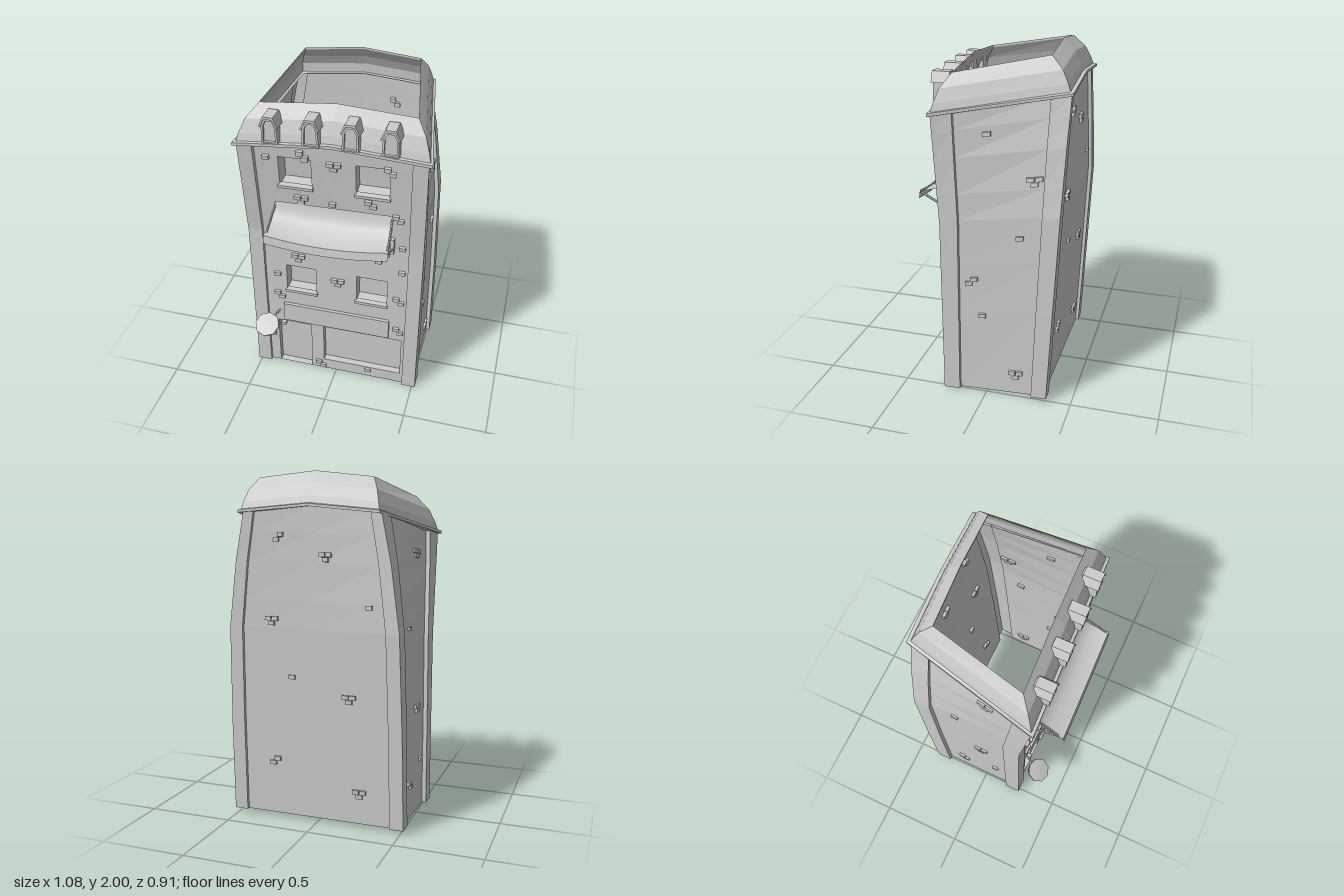
import * as THREE from 'three';

const solid = new THREE.MeshStandardMaterial({ color: 0xcccccc, flatShading: true });
const shell = new THREE.MeshStandardMaterial({ color: 0xcccccc, flatShading: true, side: THREE.DoubleSide });
const smooth = new THREE.MeshStandardMaterial({ color: 0xcccccc, side: THREE.DoubleSide });

// Piecewise linear curve through [y, value] points
function curve(points, y) {
  for (let i = 1; i < points.length; i++) {
    const [a, va] = points[i - 1], [b, vb] = points[i];
    if (y <= b || i === points.length - 1) return va + (vb - va) * Math.min(1, Math.max(0, (y - a) / (b - a)));
  }
}
const FRONT_Z = [[0, 0.255], [1.05, 0.255], [1.68, 0.31]];
const BACK_Z = [[0, -0.36], [1.05, -0.415], [1.66, -0.42]];
const BACK_SCALE = [[0, 1], [0.5, 0.99], [1.05, 0.96], [1.4, 0.86], [1.66, 0.75]];

// Bends a straight block into the crooked house
function warp(x, y, z) {
  const b = (0.255 - z) / 0.615, f = curve(FRONT_Z, y);
  const t = Math.max(0, (y - 1.05) / 0.6);
  const lift = Math.max(0, (y - 1.58) / 0.08) * 0.04 * (1 - Math.abs(x) / 0.54);
  return [
    x * (1 - b * (1 - curve(BACK_SCALE, y))),
    y + b * (0.025 + 0.06 * y) + lift,
    f + (curve(BACK_Z, y) - f) * b - 0.037 * x * t,
  ];
}
function warpGeometry(geo) {
  const p = geo.attributes.position;
  for (let i = 0; i < p.count; i++) p.setXYZ(i, ...warp(p.getX(i), p.getY(i), p.getZ(i)));
  geo.computeVertexNormals();
  return geo;
}

// Surface through rows of points
function loft(rows, closed = false) {
  const n = rows[0].length, index = [];
  for (let r = 0; r < rows.length - 1; r++) {
    for (let i = 0; i < (closed ? n : n - 1); i++) {
      const a = r * n + i, b = r * n + (i + 1) % n;
      index.push(a, b, b + n, a, b + n, a + n);
    }
  }
  const geo = new THREE.BufferGeometry();
  geo.setAttribute('position', new THREE.Float32BufferAttribute(rows.flat(2), 3));
  geo.setIndex(index);
  geo.computeVertexNormals();
  return geo;
}

export function createModel() {
  const house = new THREE.Group();
  const add = (name, geo, mat = solid, parent = house) => {
    const mesh = new THREE.Mesh(geo, mat);
    mesh.name = name;
    parent.add(mesh);
    return mesh;
  };
  const group = (name) => {
    const g = new THREE.Group();
    g.name = name;
    house.add(g);
    return g;
  };
  const box = (w, h, d, x, y, z) => new THREE.BoxGeometry(w, h, d).translate(x, y, z);
  const rod = (name, a, b, r, parent) => {
    const path = new THREE.LineCurve3(new THREE.Vector3(...a), new THREE.Vector3(...b));
    add(name, new THREE.TubeGeometry(path, 1, r, 6), shell, parent);
  };

  // Side and back walls with the four raised corner pillars
  const levels = [0, 0.5, 0.8, 1.05, 1.2, 1.4, 1.55, 1.66];
  const half = [[0.435, 0.235], [0.435, 0.255], [0.52, 0.255], [0.52, 0.16], [0.495, 0.16],
    [0.495, -0.27], [0.52, -0.27], [0.52, -0.36], [0.44, -0.36], [0.44, -0.34], [0, -0.34]];
  const plan = [...half, ...half.slice(0, -1).reverse().map(([x, z]) => [-x, z])];
  add('wallsAndPillars', loft(levels.map((y) => plan.map(([x, z]) => warp(x, y, z)))), shell);

  // Front wall: a grid of cells with recessed openings [x0, x1, y0, y1, depth]
  const openings = [[-0.375, -0.16, 0, 0.35, 0.04], [-0.08, 0.415, 0.075, 0.355, 0.04]];
  for (const [y0, y1] of [[0.615, 0.8], [1.0, 1.19], [1.39, 1.58]]) {
    openings.push([-0.305, -0.12, y0, y1, 0.075], [0.13, 0.315, y0, y1, 0.075]);
  }
  const sorted = (list) => [...new Set(list)].sort((a, b) => a - b);
  const xs = sorted([-0.435, 0, 0.435, ...openings.flatMap((o) => [o[0], o[1]])]);
  const ys = sorted([...levels, ...openings.flatMap((o) => [o[2], o[3]])]);
  const wallZ = 0.235, pos = [];
  const quad = (a, b, c, d) => [a, b, c, a, c, d].forEach((p) => pos.push(...warp(...p)));
  for (let i = 0; i < xs.length - 1; i++) {
    for (let j = 0; j < ys.length - 1; j++) {
      const [x0, x1, y0, y1] = [xs[i], xs[i + 1], ys[j], ys[j + 1]];
      const o = openings.find((q) => x0 >= q[0] && x1 <= q[1] && y0 >= q[2] && y1 <= q[3]);
      const z = wallZ - (o ? o[4] : 0);
      quad([x0, y0, z], [x1, y0, z], [x1, y1, z], [x0, y1, z]);
    }
  }
  for (const [x0, x1, y0, y1, d] of openings) {
    const c = [[x0, y0], [x1, y0], [x1, y1], [x0, y1]];
    c.forEach((p, i) => {
      const q = c[(i + 1) % 4];
      quad([...p, wallZ], [...q, wallZ], [...q, wallZ - d], [...p, wallZ - d]);
    });
  }
  const frontGeo = new THREE.BufferGeometry();
  frontGeo.setAttribute('position', new THREE.Float32BufferAttribute(pos, 3));
  frontGeo.computeVertexNormals();
  add('frontWall', frontGeo, shell);

  // Window sills and shop sign board
  const sills = group('windowSills');
  for (const [x0, x1, y0] of openings.slice(2)) {
    add('sill', warpGeometry(box(x1 - x0 + 0.015, 0.018, 0.03, (x0 + x1) / 2, y0, wallZ)), solid, sills);
  }
  add('signBoard', warpGeometry(box(0.665, 0.13, 0.03, 0.003, 0.44, wallZ + 0.002)));

  // Protruding bricks: [along, y, count]
  const bricks = group('bricks');
  const layBricks = (list, toBox) => list.forEach(([a, y, n]) => {
    const spots = [[[0, 0]], [[-0.012, 0.012], [0.016, -0.013]], [[-0.021, 0.012], [0.021, 0.012], [0, -0.013]]][n - 1];
    for (const [da, dy] of spots) add('brick', warpGeometry(toBox(a + da, y + dy)), solid, bricks);
  });
  layBricks([[-0.37, 1.575, 1], [-0.165, 1.6, 2], [0.315, 1.57, 2], [0.01, 1.56, 3], [-0.185, 1.31, 3],
    [0.21, 1.34, 2], [0.365, 1.265, 2], [-0.005, 1.305, 1], [0.395, 1.06, 1], [-0.36, 1.09, 2], [-0.01, 1.045, 3],
    [0.26, 0.945, 1], [0.4, 0.885, 1], [-0.225, 0.875, 3], [0.015, 0.735, 3], [-0.36, 0.73, 1], [0.385, 0.67, 2],
    [-0.355, 0.57, 2], [0.39, 0.435, 2], [-0.415, 0.235, 1], [0.21, 0.06, 1], [-0.1, 0.04, 2]],
  (a, y) => box(0.038, 0.023, 0.03, a, y, wallZ));
  layBricks([[0.01, 1.51, 1], [-0.22, 1.24, 3], [-0.16, 0.94, 1], [0.09, 0.69, 2], [0.03, 0.48, 1], [-0.17, 0.12, 3]],
    (a, y) => box(0.03, 0.023, 0.038, 0.495, y, a));
  layBricks([[0.02, 1.5, 3], [-0.13, 1.08, 1], [0, 0.62, 3], [0.08, 0.3, 1], [-0.15, 0.2, 2]],
    (a, y) => box(0.03, 0.023, 0.038, -0.495, y, a));
  layBricks([[0.24, 1.53, 2], [-0.09, 1.43, 3], [0.26, 1.09, 3], [-0.35, 1.18, 1], [0.135, 0.79, 1],
    [-0.21, 0.69, 3], [0.25, 0.31, 2], [-0.26, 0.17, 3]],
  (a, y) => box(0.038, 0.023, 0.03, a, y, -0.34));

  // Open mansard roof: profile swept between the eave ring and the top ring
  const eave = [[-0.54, 1.645, 0.34], [0, 1.69, 0.32], [0.54, 1.645, 0.3],
    [0.417, 1.775, -0.452], [0.01, 1.81, -0.44], [-0.39, 1.775, -0.426]];
  const top = [[-0.41, 1.865, 0.226], [0.01, 1.9, 0.208], [0.436, 1.865, 0.19],
    [0.345, 1.965, -0.32], [0.015, 2, -0.308], [-0.315, 1.965, -0.295]];
  const profile = [[0.5, 0], [0, 0], [0, 0.08], [0.15, 0.1], [0.25, 0.3], [0.5, 0.65], [1, 1],
    [1, 0.94], [0.6, 0.6], [0.38, 0.3], [0.36, 0.02]];
  add('roof', loft(profile.map(([h, v]) => eave.map((e, i) => e.map((c, k) => c + (top[i][k] - c) * (k === 1 ? v : h)))), true), shell);

  // Dormers: framed body with a recessed pane under a blunt cap
  const outline = (pts) => new THREE.Shape(pts.map((p) => new THREE.Vector2(...p)));
  const arch = (w, h) => [[-w, 0], [w, 0], [w * 0.88, h * 0.76], [w * 0.5, h], [-w * 0.5, h], [-w * 0.88, h * 0.76]];
  for (const x of [-0.32, -0.1, 0.113, 0.322]) {
    const dormer = group('dormer');
    const frame = outline(arch(0.046, 0.145));
    frame.holes.push(new THREE.Path(arch(0.034, 0.122).map(([a, b]) => new THREE.Vector2(a, b + 0.008))));
    add('frame', new THREE.ExtrudeGeometry(frame, { depth: 0.015, bevelEnabled: false }).translate(0, 0, -0.015), solid, dormer);
    add('body', new THREE.ExtrudeGeometry(outline(arch(0.046, 0.145)), { depth: 0.085, bevelEnabled: false }).translate(0, 0, -0.1), solid, dormer);
    const cap = outline([[-0.053, 0.098], [-0.028, 0.157], [0.028, 0.157], [0.053, 0.098], [0.043, 0.098], [0.023, 0.143], [-0.023, 0.143], [-0.043, 0.098]]);
    add('cap', new THREE.ExtrudeGeometry(cap, { depth: 0.1, bevelEnabled: false }).translate(0, 0, -0.092), solid, dormer);
    dormer.position.set(x, 1.69 + 0.03 * (0.4 - Math.abs(x)), 0.337 - 0.037 * x);
  }

  // Sagging awning with hanging valance and struts
  const awning = group('awning');
  const steps = Array.from({ length: 13 }, (_, i) => i / 6 - 1);
  const row = (z, y, w, sag) => steps.map((s) => [s * w, y - sag * (1 - s * s), z - 0.01 * s]);
  add('canopy', loft([row(0.265, 1.285, 0.335, 0), row(0.275, 1.24, 0.338, 0.006), row(0.3, 1.205, 0.342, 0.013),
    row(0.345, 1.18, 0.346, 0.02), row(0.395, 1.168, 0.349, 0.026), row(0.44, 1.165, 0.352, 0.032)]), smooth, awning);
  add('valance', loft([row(0.44, 1.165, 0.352, 0.032), row(0.448, 1.115, 0.352, 0.032)]), smooth, awning);
  for (const s of [-1, 1]) {
    rod('strut', [s * 0.34, 1.15, 0.43], [s * 0.34, 1.055, 0.25], 0.007, awning);
    rod('upperArm', [s * 0.335, 1.27, 0.262], [s * 0.345, 1.155, 0.43], 0.006, awning);
    add('wallPlate', box(0.02, 0.1, 0.025, s * 0.34, 1.08, 0.25), solid, awning);
  }

  // Tilted eight-sided lantern on its wall bracket
  const lantern = group('lantern');
  const lampProfile = [[0, -0.075], [0.035, -0.07], [0.058, -0.04], [0.066, -0.005], [0.076, -0.005], [0.076, 0.008], [0, 0.014]];
  const lamp = add('lamp', new THREE.LatheGeometry(lampProfile.map((p) => new THREE.Vector2(...p)), 8), shell, lantern);
  lamp.position.set(-0.41, 0.395, 0.345);
  lamp.rotation.set(0.58, 0, 0);
  rod('upperBracket', [-0.4, 0.41, 0.32], [-0.36, 0.44, 0.235], 0.006, lantern);
  rod('lowerBracket', [-0.4, 0.345, 0.31], [-0.34, 0.335, 0.235], 0.006, lantern);
  add('bracketPlate', box(0.03, 0.018, 0.03, -0.335, 0.345, 0.245), solid, lantern);

  return house;
}
